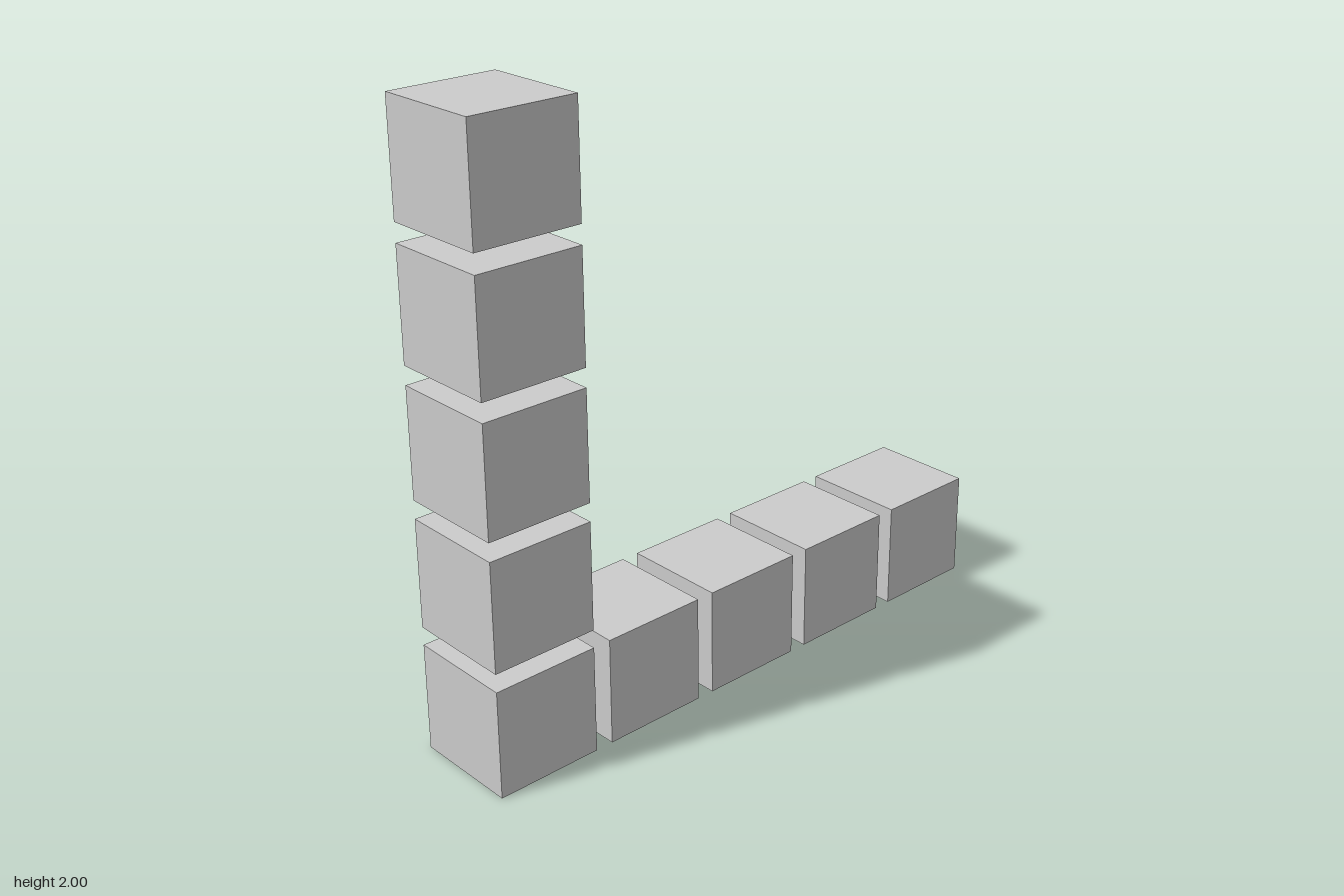
import * as THREE from 'three';

const COUNT = 5;
const GAP = 1 / 17;
const SIZE = 6 * GAP; // five cubes and four gaps span 2 units
const PITCH = SIZE + GAP;

export function createModel() {
  const model = new THREE.Group();
  model.name = 'cubeCorner';
  const geometry = new THREE.BoxGeometry(SIZE, SIZE, SIZE);
  const material = new THREE.MeshStandardMaterial({ color: 0xcccccc, flatShading: true });

  // Places a cube by its column and row in the L
  const addCube = (name, column, row) => {
    const cube = new THREE.Mesh(geometry, material);
    cube.name = name;
    cube.position.set(-1 + SIZE / 2 + column * PITCH, SIZE / 2 + row * PITCH, 0);
    model.add(cube);
  };

  // Shared corner, then the horizontal and vertical arms
  addCube('cornerCube', 0, 0);
  for (let i = 1; i < COUNT; i++) {
    addCube(`rowCube${i}`, i, 0);
    addCube(`columnCube${i}`, 0, i);
  }
  return model;
}
